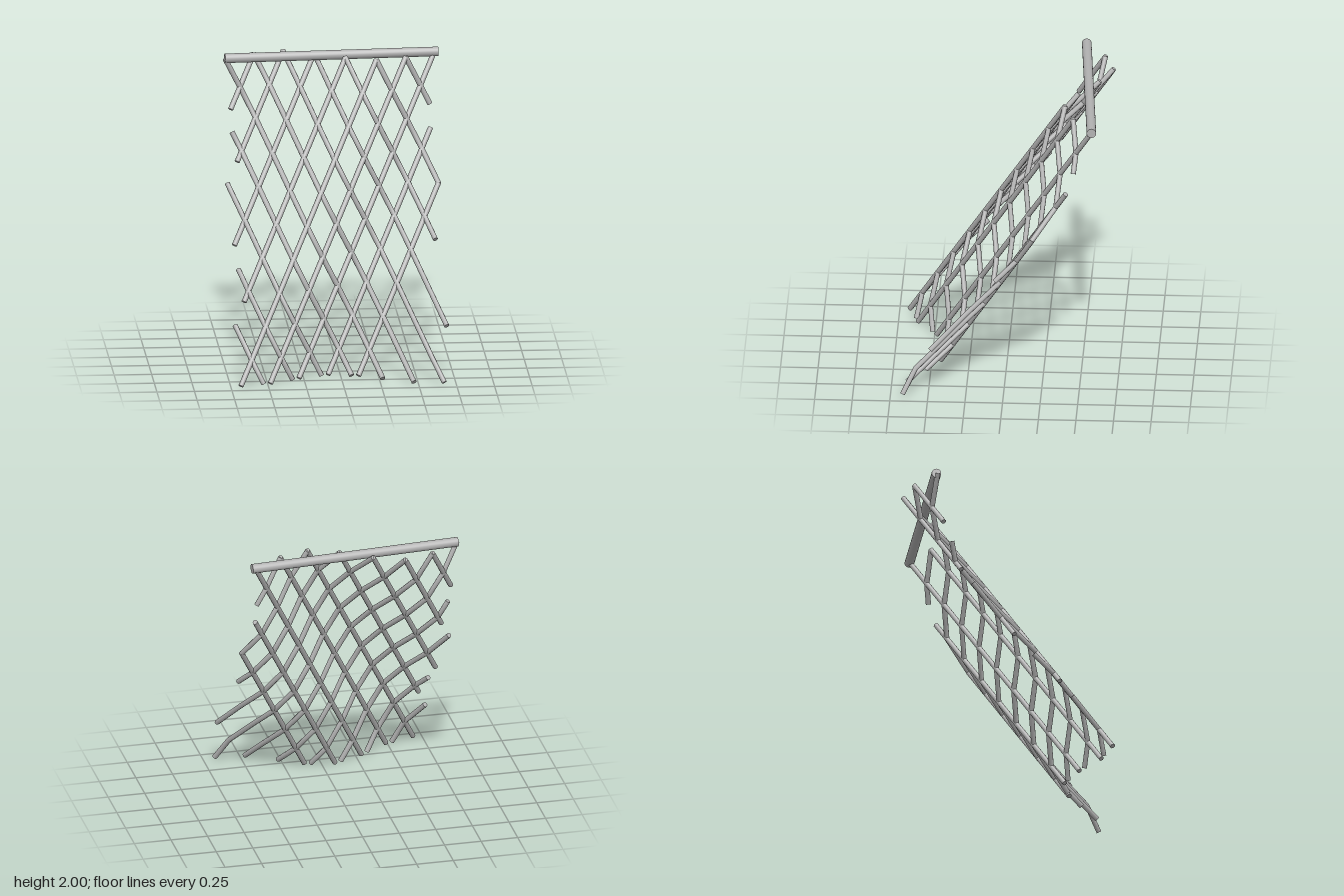
import * as THREE from 'three';
import { mergeGeometries } from 'three/addons/utils/BufferGeometryUtils.js';

const STEP = 0.2, S0 = -1.69, T0 = -0.525, TOP = 1.967, BOTTOM = 0.009;
const R = 0.0175;

// Wave profile of the net, one value per rising strand line
const WAVE = [-0.333, -0.366, -0.318, -0.124, 0.118, 0.307, 0.354, 0.33, 0.354, 0.505, 0.735, 0.957, 1.065];

// Point on the net: s is constant along rising strands, t along falling strands
function netPoint(s, t) {
  const k = THREE.MathUtils.clamp((s - S0) / STEP, 0, WAVE.length - 1.001);
  const i = Math.floor(k);
  const z = THREE.MathUtils.lerp(WAVE[i], WAVE[i + 1], k - i) - 0.55 * t;
  return new THREE.Vector3((s + t) / 2, t - s, z);
}

// Polyline curve whose samples fall exactly on its points
class Polyline extends THREE.Curve {
  constructor(points) {
    super();
    this.points = points;
  }
  getPoint(u, target = new THREE.Vector3()) {
    const p = this.points, f = u * (p.length - 1);
    const i = Math.min(Math.floor(f), p.length - 2);
    return target.lerpVectors(p[i], p[i + 1], f - i);
  }
  getPointAt(u, target) { return this.getPoint(u, target); }
  getTangentAt(u, target) { return this.getTangent(u, target); }
}

// Flat disc closing a strand end, facing along dir
function cap(point, dir) {
  const q = new THREE.Quaternion().setFromUnitVectors(new THREE.Vector3(0, 0, 1), dir.clone().normalize());
  return new THREE.CircleGeometry(R, 8).applyQuaternion(q).translate(point.x, point.y, point.z);
}

function strand(points, name, material) {
  const n = points.length;
  const tube = new THREE.TubeGeometry(new Polyline(points), n - 1, R, 8, false);
  const start = cap(points[0], points[0].clone().sub(points[1]));
  const end = cap(points[n - 1], points[n - 1].clone().sub(points[n - 2]));
  const mesh = new THREE.Mesh(mergeGeometries([tube, start, end]), material);
  mesh.name = name;
  return mesh;
}

export function createModel() {
  const model = new THREE.Group();
  model.name = 'hangingLattice';
  const grey = new THREE.MeshStandardMaterial({ color: 0xb2b2b2 });
  grey.name = 'grey';

  // Rising strands: straight, from left edge or floor to top or right edge
  const rising = new THREE.Group();
  rising.name = 'risingStrands';
  const leftEnds = { 1: -0.675, 2: -0.64, 3: -0.683, 4: -0.64 };
  const rightEnds = { 8: 0.655, 9: 0.695 };
  for (let k = 1; k <= 9; k++) {
    const s = S0 + k * STEP;
    const tStart = k in leftEnds ? 2 * leftEnds[k] - s : s + BOTTOM;
    const tEnd = k in rightEnds ? 2 * rightEnds[k] - s : s + TOP;
    rising.add(strand([netPoint(s, tStart), netPoint(s, tEnd)], 'risingStrand', grey));
  }

  // Falling strands: bent over the wave at every crossing
  const falling = new THREE.Group();
  falling.name = 'fallingStrands';
  const upperLeft = [-0.705, -0.665, -0.71, -0.67];
  const lowerRight = { 7: 0.7, 8: 0.655, 9: 0.695, 10: 0.655 };
  for (let j = 0; j <= 10; j++) {
    const t = T0 + j * STEP;
    const sStart = j < 4 ? 2 * upperLeft[j] - t : t - TOP;
    const sEnd = j in lowerRight ? 2 * lowerRight[j] - t : t - BOTTOM;
    const points = [netPoint(sStart, t)];
    for (let k = 0; k < WAVE.length; k++) {
      const s = S0 + k * STEP;
      if (s > sStart + 0.02 && s < sEnd - 0.02) points.push(netPoint(s, t));
    }
    points.push(netPoint(sEnd, t));
    falling.add(strand(points, 'fallingStrand', grey));
  }

  // Thick top rail, slightly turned in plan
  const a = new THREE.Vector3(-0.71, 1.968, -0.493), b = new THREE.Vector3(0.718, 1.968, -0.59);
  const axis = b.clone().sub(a);
  const rail = new THREE.Mesh(new THREE.CylinderGeometry(0.032, 0.032, axis.length(), 20), grey);
  rail.name = 'topRail';
  rail.position.copy(a).add(b).multiplyScalar(0.5);
  rail.quaternion.setFromUnitVectors(new THREE.Vector3(0, 1, 0), axis.normalize());

  model.add(rising, falling, rail);
  return model;
}
